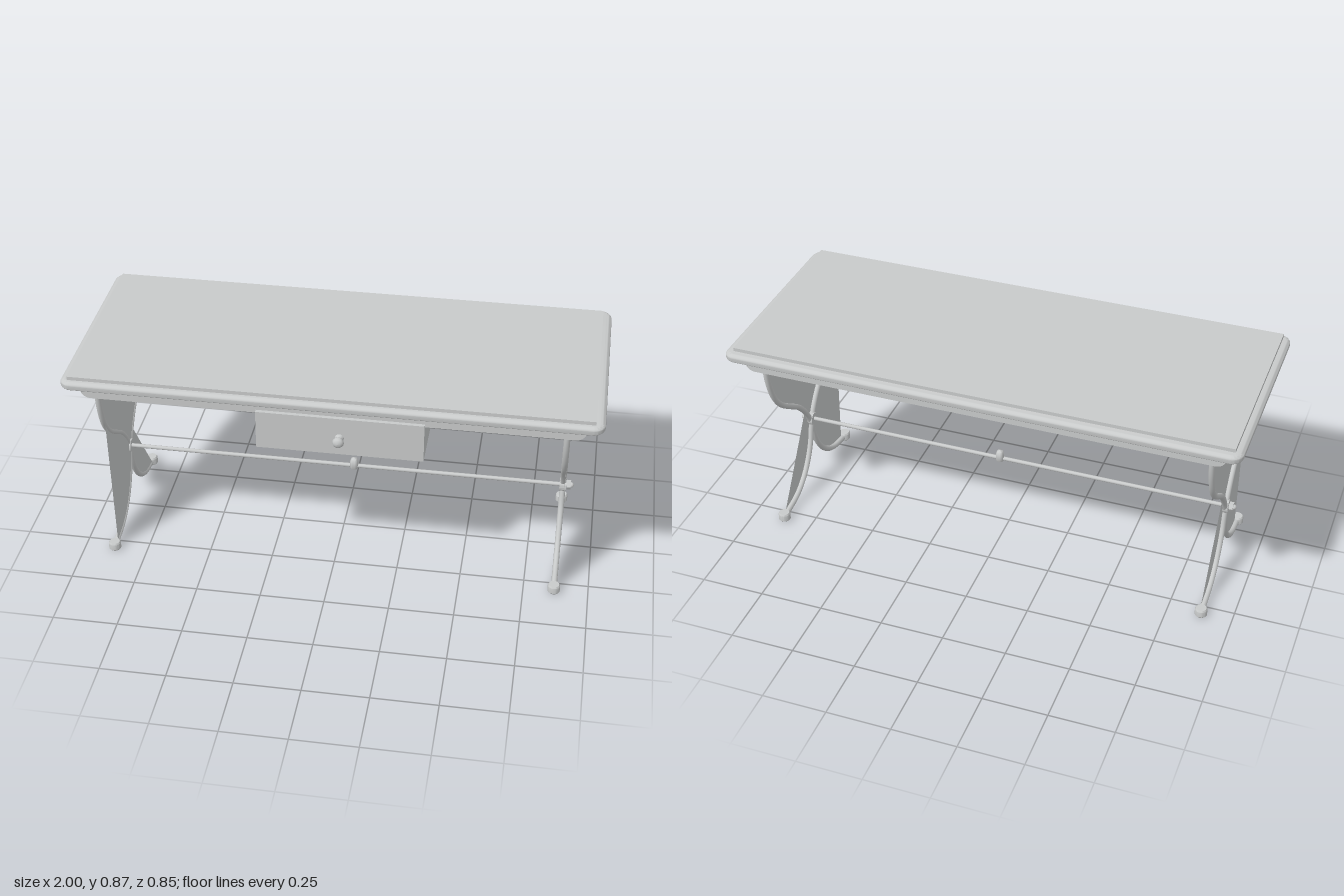
import * as THREE from 'three';
import { toCreasedNormals } from 'three/addons/utils/BufferGeometryUtils.js';

const stone = new THREE.MeshStandardMaterial({ color: 0xc8caca, side: THREE.DoubleSide });
stone.name = 'paleGrey';

function add(parent, name, geometry, x = 0, y = 0, z = 0) {
  const mesh = new THREE.Mesh(geometry, stone);
  mesh.name = name;
  mesh.position.set(x, y, z);
  parent.add(mesh);
  return mesh;
}

function roundedRect(w, d, r) {
  const s = new THREE.Shape(), x = w / 2, y = d / 2;
  s.absarc(x - r, y - r, r, 0, Math.PI / 2);
  s.absarc(-x + r, y - r, r, Math.PI / 2, Math.PI);
  s.absarc(-x + r, -y + r, r, Math.PI, Math.PI * 1.5);
  s.absarc(x - r, -y + r, r, Math.PI * 1.5, Math.PI * 2);
  s.closePath();
  return s;
}

// Centre line of one curved leg as [z, y], from the front of the top to the back foot
const LEG = [[0.338, 0.815], [0.335, 0.74], [0.318, 0.66], [0.285, 0.585], [0.235, 0.525],
  [0.165, 0.472], [0.1, 0.425], [0.045, 0.365], [0.007, 0.3], [-0.022, 0.2], [-0.06, 0.13],
  [-0.11, 0.075], [-0.18, 0.035], [-0.285, 0.015]];

function legCurve(side, x) {
  return new THREE.CatmullRomCurve3(LEG.map(([z, y]) => new THREE.Vector3(x, y, z * side)));
}

// Sheet filling the trestle, drawn with shape x = -z
function webGeometry() {
  const front = legCurve(1, 0).getPoints(60), back = legCurve(-1, 0).getPoints(60);
  const upperFront = front.filter(p => p.y > 0.6);
  const lowerFront = back.filter(p => p.y < 0.25).reverse();
  const lowerBack = front.filter(p => p.y < 0.25);
  const upperBack = back.filter(p => p.y > 0.35).reverse();
  const outline = [...upperFront, new THREE.Vector3(0, 0.03, 0.278), ...lowerFront,
    ...lowerBack, new THREE.Vector3(0, 0.03, -0.268), ...upperBack];
  const shape = new THREE.Shape(outline.map(p => new THREE.Vector2(-p.z, p.y)));
  return new THREE.ShapeGeometry(shape).rotateY(Math.PI / 2);
}

function createTrestle(name, x) {
  const g = new THREE.Group();
  g.name = name;
  g.position.x = x;
  for (const side of [1, -1]) {
    add(g, side > 0 ? 'frontToBackLeg' : 'backToFrontLeg',
      new THREE.TubeGeometry(legCurve(side, 0), 64, 0.0115, 10));
    const foot = new THREE.LatheGeometry([[0, 0], [0.02, 0], [0.024, 0.005], [0.024, 0.029],
      [0.02, 0.035], [0, 0.035]].map(p => new THREE.Vector2(...p)), 20);
    add(g, 'foot', toCreasedNormals(foot, 0.6), 0, 0, side * 0.299);
  }
  add(g, 'web', webGeometry(), 0.007, 0, 0);
  return g;
}

export function createModel() {
  const table = new THREE.Group();
  table.name = 'trestleTable';

  // Table top: bullnosed slab and raised panel
  const r = 0.018;
  const slab = new THREE.ExtrudeGeometry(roundedRect(2 - 2 * r, 0.85 - 2 * r, 0.028),
    { depth: 0.002, bevelThickness: r - 0.001, bevelSize: r, bevelSegments: 6, curveSegments: 8 });
  slab.rotateX(-Math.PI / 2);
  add(table, 'topSlab', toCreasedNormals(slab, 0.7), 0, 0.814 + r, 0);
  add(table, 'topPanel', new THREE.BoxGeometry(1.935, 0.018, 0.79), -0.002, 0.856, 0.005);

  // Long aprons with curved lower corners
  const apron = new THREE.Shape();
  apron.moveTo(-0.945, 0.818);
  apron.bezierCurveTo(-0.935, 0.79, -0.935, 0.758, -0.895, 0.757);
  apron.lineTo(0.895, 0.757);
  apron.bezierCurveTo(0.935, 0.758, 0.935, 0.79, 0.945, 0.818);
  apron.closePath();
  for (const side of [1, -1]) {
    const board = new THREE.ExtrudeGeometry(apron, { depth: 0.011, bevelEnabled: false });
    add(table, side > 0 ? 'frontApron' : 'backApron', toCreasedNormals(board, 0.6), 0, 0, side * 0.361 - 0.0055);
  }

  // Drawer and turned knob
  add(table, 'drawer', new THREE.BoxGeometry(0.625, 0.155, 0.41), 0.042, 0.692, 0.176);
  const knob = new THREE.LatheGeometry([[0.017, 0], [0.015, 0.005], [0.008, 0.01], [0.008, 0.018],
    [0.018, 0.022], [0.022, 0.03], [0.018, 0.039], [0.009, 0.044], [0, 0.045]]
    .map(p => new THREE.Vector2(...p)), 20);
  knob.rotateX(Math.PI / 2);
  add(table, 'drawerKnob', knob, 0.042, 0.686, 0.381);

  // Trestles
  table.add(createTrestle('leftTrestle', 0.868), createTrestle('rightTrestle', -0.88));

  // Stretcher rod with end nuts and centre collar
  const rod = new THREE.CylinderGeometry(0.008, 0.008, 1.8, 14).rotateZ(Math.PI / 2);
  add(table, 'stretcherRod', rod, -0.005, 0.302, 0.007);
  for (const side of [1, -1]) {
    const nut = new THREE.CylinderGeometry(0.019, 0.019, 0.016, 6).rotateZ(Math.PI / 2);
    add(table, 'nut', toCreasedNormals(nut, 0.5), -0.006 + side * 0.897, 0.302, 0.007);
    const cap = new THREE.SphereGeometry(0.011, 14, 10);
    add(table, 'nutCap', cap, -0.006 + side * 0.906, 0.302, 0.007);
    const washer = new THREE.CylinderGeometry(0.026, 0.026, 0.026, 16).rotateZ(Math.PI / 2);
    add(table, 'crossingBoss', toCreasedNormals(washer, 0.6), -0.006 + side * 0.874, 0.302, 0.007);
  }
  const collar = new THREE.LatheGeometry([[0, 0], [0.015, 0], [0.017, 0.004], [0.017, 0.03],
    [0.012, 0.043], [0, 0.049]].map(p => new THREE.Vector2(...p)), 18);
  add(table, 'rodCollar', toCreasedNormals(collar, 0.8), 0.042, 0.291, 0.007);

  return table;
}
